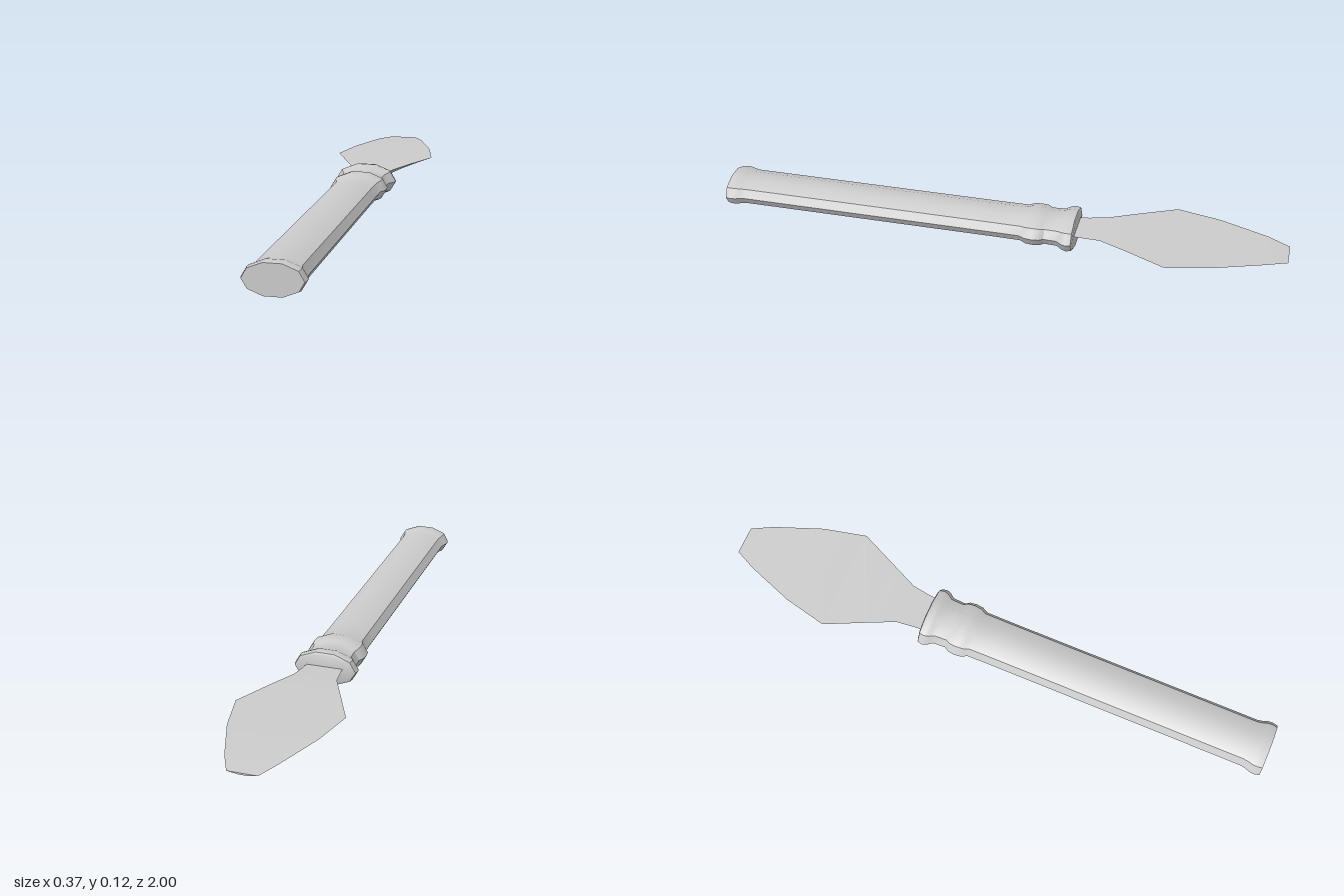
import * as THREE from 'three';
import { toCreasedNormals } from 'three/addons/utils/BufferGeometryUtils.js';

const material = new THREE.MeshStandardMaterial({ color: 0xcccccc });

// Ten-sided flattened grip with turned rings, lying along z
function makeHandle() {
  const profile = [ // [radius, z]
    [0, -0.272], [0.095, -0.272], [0.108, -0.268], [0.112, -0.25], [0.107, -0.235], [0.092, -0.215],
    [0.09, -0.17], [0.1, -0.155], [0.103, -0.13], [0.1, -0.105],
    [0.089, -0.085], [0.088, 0], [0.088, 0.93], [0.092, 0.95],
    [0.098, 0.965], [0.099, 0.985], [0.095, 1], [0, 1],
  ].map(([r, z]) => new THREE.Vector2(r, z));
  const geometry = new THREE.LatheGeometry(profile, 10, Math.PI / 2);
  geometry.rotateX(Math.PI / 2);
  geometry.scale(1, 0.555, 1);
  geometry.translate(0, 0.06, 0);
  const mesh = new THREE.Mesh(toCreasedNormals(geometry, 0.55), material);
  mesh.name = 'handle';
  return mesh;
}

// Leaf-shaped blade: flat top, shallow keel below, lofted from cross-sections
function makeBlade() {
  const sections = [ // [z, half width, top y, bottom y]
    [-0.24, 0.062, 0.068, 0.056],
    [-0.3, 0.066, 0.07, 0.055],
    [-0.365, 0.075, 0.075, 0.046],
    [-0.455, 0.117, 0.077, 0.031],
    [-0.6, 0.185, 0.077, 0.03],
    [-0.755, 0.15, 0.077, 0.03],
    [-0.925, 0.087, 0.075, 0.048],
    [-1, 0.05, 0.07, 0.064],
  ];
  // Outline of one section: [fraction of half width, fraction of depth]
  const outline = [[-1, 0], [-0.74, 0.4], [-0.28, 1], [0.28, 1], [0.74, 0.4], [1, 0]];
  const n = outline.length;
  const positions = [];
  const index = [];
  for (const [z, w, top, bottom] of sections) {
    for (const [u, v] of outline) positions.push(u * w, top - v * (top - bottom), z);
  }
  for (let s = 0; s < sections.length - 1; s++) {
    for (let i = 0; i < n; i++) {
      const a = s * n + i, b = s * n + (i + 1) % n;
      index.push(a, a + n, b, b, a + n, b + n);
    }
  }
  // End caps
  const last = (sections.length - 1) * n;
  for (let i = 1; i < n - 1; i++) {
    index.push(0, i, i + 1, last, last + i + 1, last + i);
  }
  const geometry = new THREE.BufferGeometry();
  geometry.setAttribute('position', new THREE.Float32BufferAttribute(positions, 3));
  geometry.setIndex(index);
  const mesh = new THREE.Mesh(toCreasedNormals(geometry, 0.5), material);
  mesh.name = 'blade';
  return mesh;
}

export function createModel() {
  const group = new THREE.Group();
  group.name = 'carvingKnife';
  group.add(makeHandle(), makeBlade());
  return group;
}
